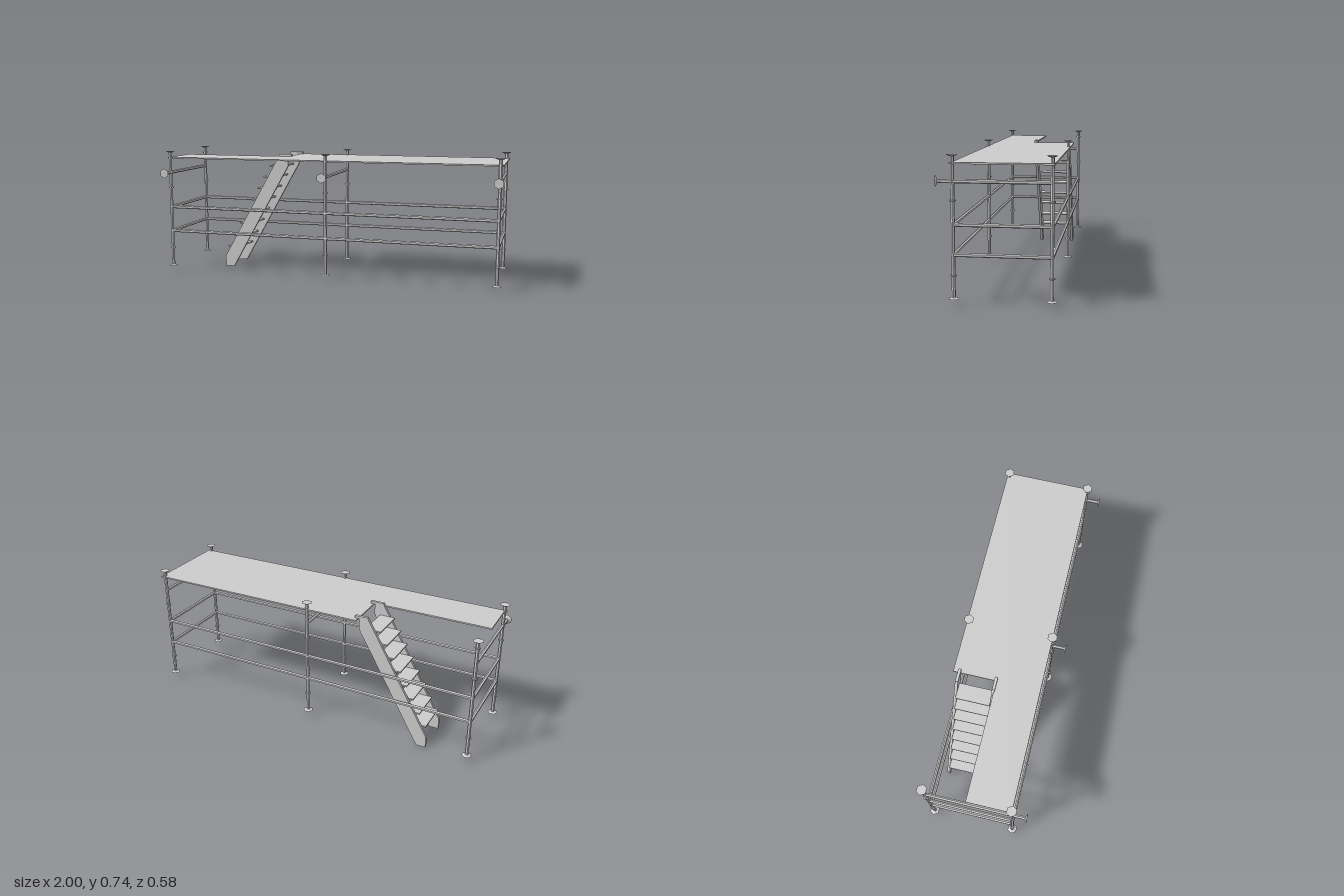
import * as THREE from 'three';

const XS = [-0.97, 0, 0.97];
const Z_FRONT = 0.209, Z_BACK = -0.265;
const TUBE_R = 0.01, PLATE_R = 0.029;

export function createModel() {
  const model = new THREE.Group();
  const material = new THREE.MeshStandardMaterial({ color: 0xcccccc, flatShading: true });

  function add(parent, name, geometry, x = 0, y = 0, z = 0) {
    const mesh = new THREE.Mesh(geometry, material);
    mesh.name = name;
    mesh.position.set(x, y, z);
    parent.add(mesh);
    return mesh;
  }

  // Six-sided tubes and flared plates
  const hex = (rTop, rBottom, height) => new THREE.CylinderGeometry(rTop, rBottom, height, 6);
  const upright = (rTop, rBottom, height) => hex(rTop, rBottom, height).rotateY(Math.PI / 6);
  const alongZ = (rFront, rBack, length) => hex(rFront, rBack, length).rotateX(Math.PI / 2);
  const alongX = (r, length) => alongZ(r, r, length).rotateY(Math.PI / 2);

  // Posts with foot plate, head plate and coupling collars
  for (const x of XS) {
    for (const z of [Z_FRONT, Z_BACK]) {
      const post = new THREE.Group();
      post.name = 'post';
      post.position.set(x, 0, z);
      add(post, 'postTube', upright(TUBE_R, TUBE_R, 0.69), 0, 0.3875, 0);
      add(post, 'footPlate', upright(TUBE_R, PLATE_R, 0.006), 0, 0.043, 0);
      add(post, 'headPlate', upright(PLATE_R, TUBE_R, 0.008), 0, 0.731, 0);
      for (const y of [0.153, 0.517, 0.696])
        add(post, 'collar', upright(0.0165, 0.0165, 0.006), 0, y, 0);
      model.add(post);
    }
  }

  // Lower rails: long ones at front and back, short ones at both ends
  const span = Z_FRONT - Z_BACK, zMid = (Z_FRONT + Z_BACK) / 2;
  for (const y of [0.401, 0.255]) {
    for (const z of [Z_FRONT, Z_BACK])
      add(model, 'longRail', alongX(TUBE_R, 1.94), 0, y, z);
    for (const x of [-0.97, 0.97])
      add(model, 'endRail', alongZ(TUBE_R, TUBE_R, span), x, y, zMid);
  }

  // Cross bars under the deck, reaching forward to a wall plate
  for (const x of XS) {
    const length = 0.288 - Z_BACK;
    add(model, 'crossBar', alongZ(TUBE_R, TUBE_R, length), x, 0.609, Z_BACK + length / 2);
    add(model, 'wallPlate', alongZ(PLATE_R, TUBE_R, 0.009), x, 0.609, 0.2865);
  }

  // L-shaped deck with the stair opening in its back left-hand corner as seen from the front
  const deck = new THREE.Shape([
    [-0.973, 0.21], [0.989, 0.21], [0.989, -0.278],
    [-0.303, -0.278], [-0.303, -0.035], [-0.973, -0.035],
  ].map(([x, z]) => new THREE.Vector2(x, -z)));
  const deckGeometry = new THREE.ExtrudeGeometry(deck, { depth: 0.008, bevelEnabled: false });
  add(model, 'deck', deckGeometry.rotateX(-Math.PI / 2), 0, 0.692, 0);

  // Stair: two hooked stringers and eight treads
  const stair = new THREE.Group();
  stair.name = 'stair';
  const stringer = new THREE.Shape([
    [-0.73, 0], [-0.675, 0], [-0.31, 0.64], [-0.31, 0.7],
    [-0.285, 0.7], [-0.285, 0.714], [-0.36, 0.714], [-0.73, 0.065],
  ].map(([x, y]) => new THREE.Vector2(x, y)));
  const stringerGeometry = new THREE.ExtrudeGeometry(stringer, { depth: 0.016, bevelEnabled: false });
  for (const z of [-0.046, -0.251]) add(stair, 'stringer', stringerGeometry, 0, 0, z);
  const treadGeometry = new THREE.BoxGeometry(0.09, 0.008, 0.192);
  [0.124, 0.196, 0.276, 0.349, 0.425, 0.497, 0.57, 0.638].forEach((y, i) =>
    add(stair, 'tread', treadGeometry, -0.675 + i * 0.041, y, -0.1405));
  model.add(stair);

  return model;
}
